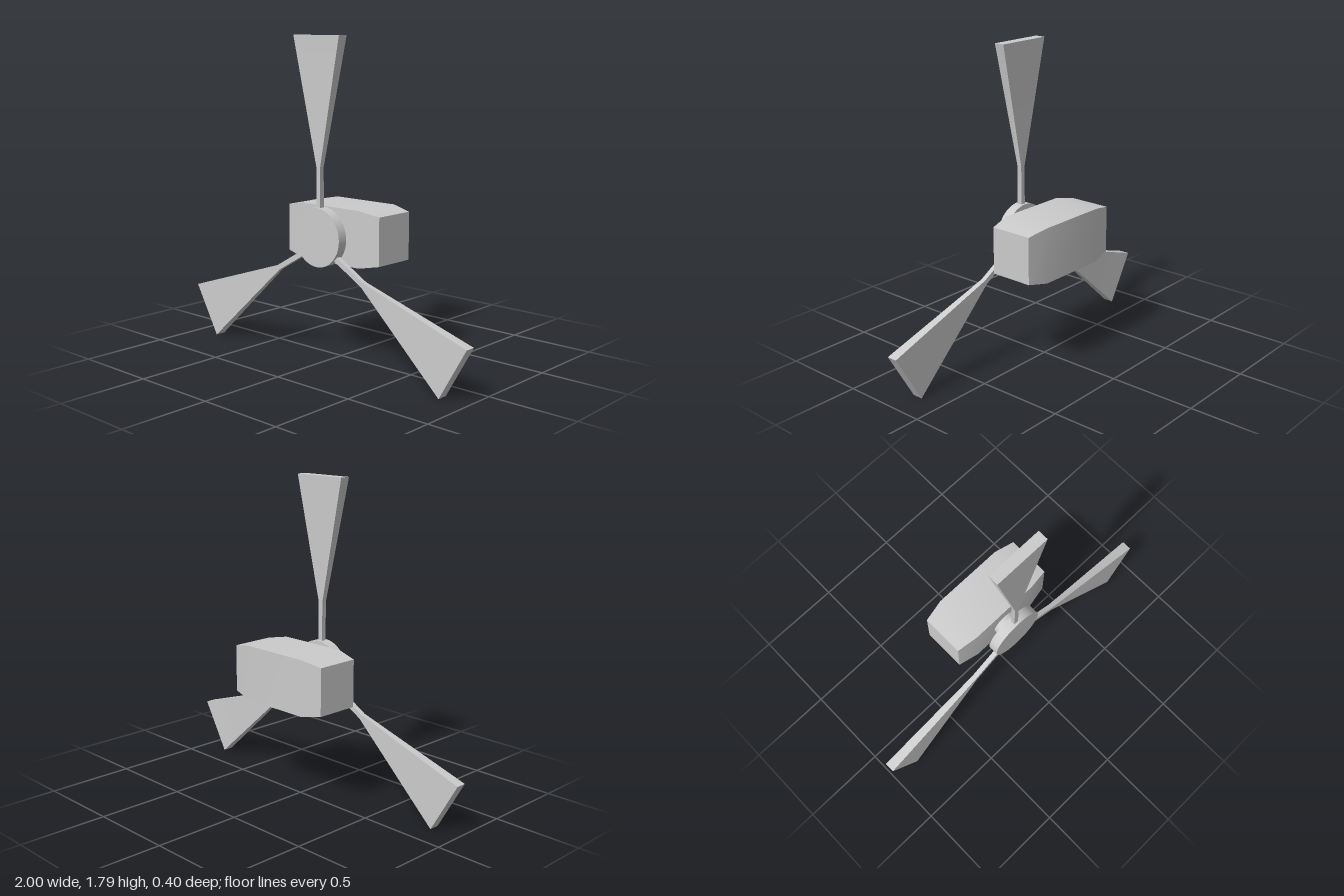
import * as THREE from 'three';
import { toCreasedNormals } from 'three/addons/utils/BufferGeometryUtils.js';

const material = new THREE.MeshStandardMaterial({ color: 0xcccccc });
const AXIS_Y = 0.708; // height of the rotor axis
const ROTOR_Z = 0.17; // middle plane of hub and blades

function reshape(geometry, rule) {
  const p = geometry.attributes.position;
  for (let i = 0; i < p.count; i++) {
    p.setXYZ(i, ...rule(p.getX(i), p.getY(i), p.getZ(i)));
  }
  return toCreasedNormals(geometry, Math.PI / 6);
}

function addMesh(parent, name, geometry, x, y, z) {
  const mesh = new THREE.Mesh(geometry, material);
  mesh.name = name;
  mesh.position.set(x, y, z);
  parent.add(mesh);
  return mesh;
}

// Box tapering gently towards its left and right ends
function housingGeometry() {
  return reshape(new THREE.BoxGeometry(2, 2, 2, 3, 1, 1), (x, y, z) => {
    const end = Math.abs(x) > 0.9;
    return end
      ? [Math.sign(x) * 0.335, y * 0.133, z * 0.125]
      : [Math.sign(x) * 0.21, y * 0.157, z * 0.147];
  });
}

// Thin square stem that flares out in width and depth towards the tip
function bladeGeometry() {
  return reshape(new THREE.BoxGeometry(2, 2, 2, 1, 2, 1), (x, y, z) => {
    if (y > 0.5) return [x * 0.165, 1.082, z * 0.03];
    return [x * 0.014, y < -0.5 ? 0.1 : 0.382, z * 0.014];
  });
}

function discGeometry(radius, depth) {
  return new THREE.CylinderGeometry(radius, radius, depth, 64).rotateX(Math.PI / 2);
}

export function createModel() {
  const model = new THREE.Group();
  model.name = 'windTurbineHead';

  addMesh(model, 'housing', housingGeometry(), 0, AXIS_Y, -0.053);
  addMesh(model, 'shaft', discGeometry(0.077, 0.09), 0, AXIS_Y, 0.11);

  const rotor = new THREE.Group();
  rotor.name = 'rotor';
  model.add(rotor);
  addMesh(rotor, 'hub', discGeometry(0.163, 0.058), 0, AXIS_Y, ROTOR_Z);

  // Upper blade, then the mirrored lower pair set slightly below the axis
  const blade = bladeGeometry();
  addMesh(rotor, 'topBlade', blade, 0, AXIS_Y, ROTOR_Z);
  for (const side of [1, -1]) {
    const name = side > 0 ? 'leftBlade' : 'rightBlade';
    const mesh = addMesh(rotor, name, blade, -side * 0.019, 0.685, ROTOR_Z);
    mesh.rotation.z = (-side * Math.PI * 2) / 3;
  }
  return model;
}
